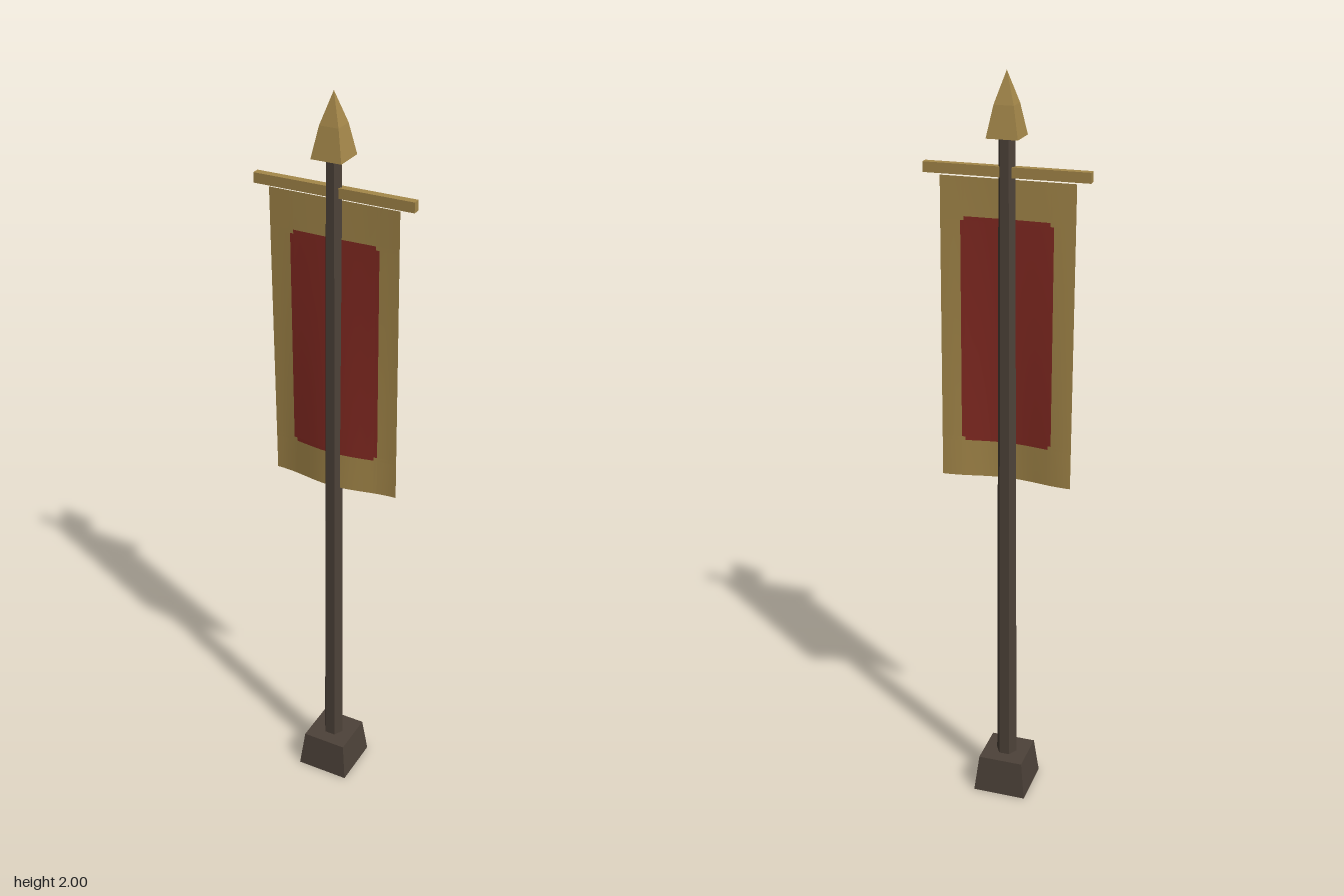
import * as THREE from 'three';
import { mergeGeometries } from 'three/addons/utils/BufferGeometryUtils.js';

export function createModel() {
  const model = new THREE.Group();
  model.name = 'bannerPole';

  const material = (name, color, side = THREE.FrontSide) => {
    const m = new THREE.MeshStandardMaterial({ color, side });
    m.name = name;
    return m;
  };
  const darkWood = material('dark wood', 0x4d4239);
  const gold = material('gold', 0xa5884a);
  const goldCloth = material('gold cloth', 0xa5884a, THREE.DoubleSide);
  const redCloth = material('red cloth', 0x842a22, THREE.DoubleSide);

  const add = (name, geometry, mat) => {
    const mesh = new THREE.Mesh(geometry, mat);
    mesh.name = name;
    model.add(mesh);
  };

  // Faceted tapered solid between two heights
  const taper = (rBottom, rTop, y0, y1, sides, turn, open = false) => {
    const g = new THREE.CylinderGeometry(rTop, rBottom, y1 - y0, sides, 1, open)
      .rotateY(turn).translate(0, (y0 + y1) / 2, 0).toNonIndexed();
    g.computeVertexNormals();
    return g;
  };
  const D = Math.SQRT2; // half width to corner radius for square sections
  const q = Math.PI / 4;

  // Base block and hexagonal pole
  add('base', taper(0.074 * D, 0.062 * D, 0, 0.105, 4, q), darkWood);
  add('pole', taper(0.029, 0.021, 0.1, 1.85, 6, Math.PI / 6), darkWood);

  // Spear finial: flared lower half and pointed tip
  add('finial', mergeGeometries([
    taper(0.04 * D, 0.025 * D, 1.845, 1.922, 4, q),
    taper(0.025 * D, 0, 1.922, 2, 4, q, true),
  ]), gold);

  // Crossbar
  add('crossbar', new THREE.BoxGeometry(0.424, 0.026, 0.02).translate(0, 1.762, -0.001), gold);

  // Cloth: grid of cells, red inside with notched corners, waving more toward the bottom
  const xs = [-0.175, -0.12, -0.111, 0.111, 0.12, 0.172];
  const ys = [0.953, 1.053, 1.063, 1.635, 1.645, 1.743];
  const wave = (x, y) => {
    const t = (1.743 - y) / 0.79;
    return t * (-0.003 + 0.011 * Math.cos(Math.PI * x / 0.172) - 0.012 * x);
  };
  const red = [], yellow = [];
  for (let i = 0; i < 5; i++) for (let j = 0; j < 5; j++) {
    const w = xs[i + 1] - xs[i], h = ys[j + 1] - ys[j];
    const g = new THREE.PlaneGeometry(w, h, Math.ceil(w / 0.02), Math.ceil(h / 0.15));
    g.translate(xs[i] + w / 2, ys[j] + h / 2, 0);
    const p = g.attributes.position;
    for (let k = 0; k < p.count; k++) p.setZ(k, wave(p.getX(k), p.getY(k)));
    g.computeVertexNormals();
    const inside = i > 0 && i < 4 && j > 0 && j < 4;
    const corner = i !== 2 && j !== 2;
    (inside && !corner ? red : yellow).push(g);
  }
  add('bannerBorder', mergeGeometries(yellow), goldCloth);
  add('bannerField', mergeGeometries(red), redCloth);

  return model;
}
